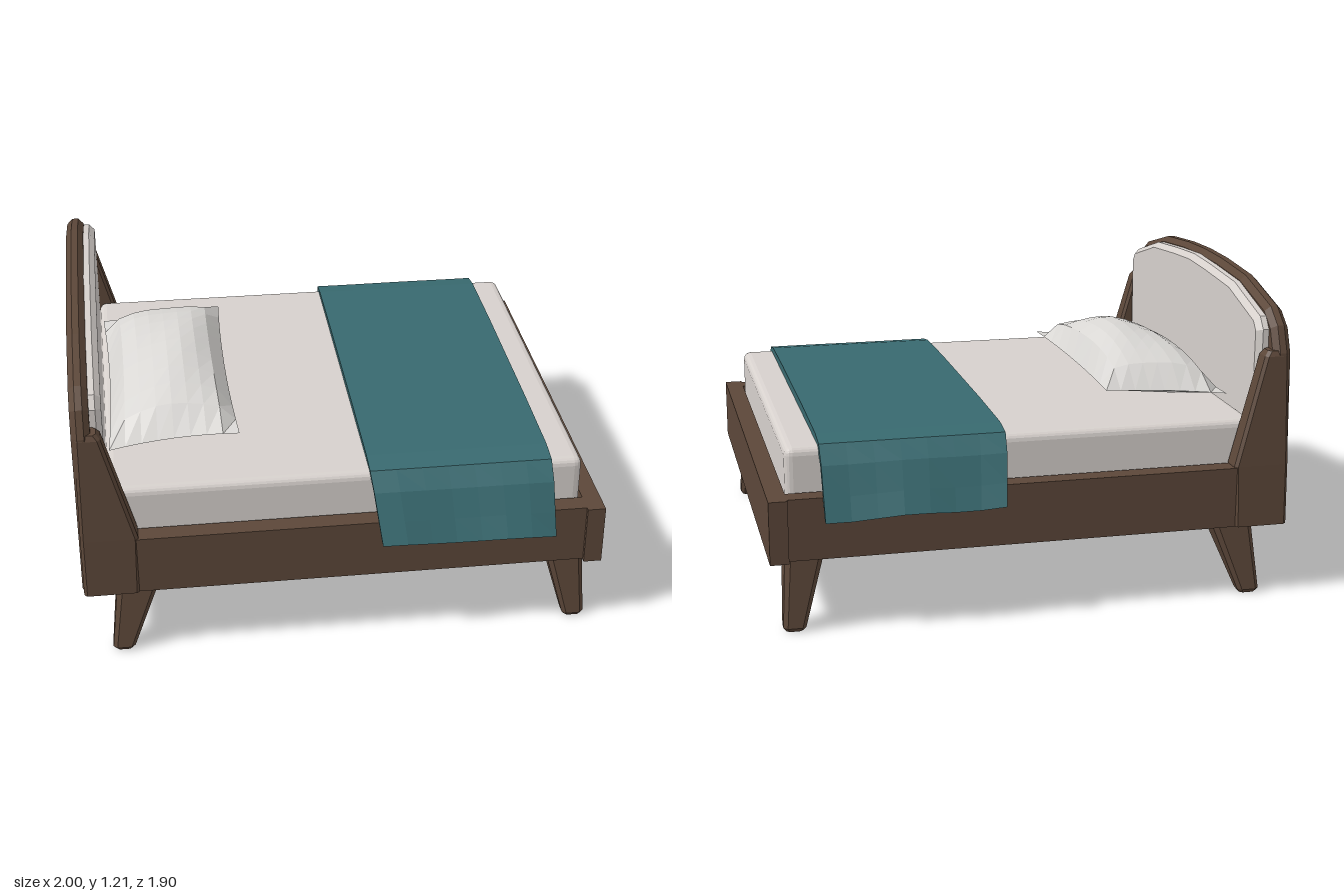
import * as THREE from 'three';
import { RoundedBoxGeometry } from 'three/addons/geometries/RoundedBoxGeometry.js';
import { mergeGeometries } from 'three/addons/utils/BufferGeometryUtils.js';

const mat = (name, color) => {
  const m = new THREE.MeshStandardMaterial({ color });
  m.name = name;
  return m;
};

// faceted normals
function facet(geo) {
  const g = geo.index ? geo.toNonIndexed() : geo;
  g.computeVertexNormals();
  return g;
}

// closed solid through rings of equal, even point count
function loft(rings) {
  const pos = [];
  const quad = (a, b, c, d) => [a, b, c, a, c, d].forEach(p => pos.push(...p));
  const n = rings[0].length;
  for (let r = 0; r < rings.length - 1; r++) {
    const a = rings[r], b = rings[r + 1];
    for (let i = 0; i < n; i++) {
      const j = (i + 1) % n;
      quad(a[i], a[j], b[j], b[i]);
    }
  }
  const lo = rings[0], hi = rings[rings.length - 1];
  for (let i = 0; i < n / 2 - 1; i++) {
    const j = n - 1 - i;
    quad(hi[i], hi[i + 1], hi[j - 1], hi[j]);
    quad(lo[j], lo[j - 1], lo[i + 1], lo[i]);
  }
  const g = new THREE.BufferGeometry();
  g.setAttribute('position', new THREE.Float32BufferAttribute(pos, 3));
  g.computeVertexNormals();
  return g;
}

// horizontal rectangle with cut corners; side mirrors it in z
function ring(y, x0, x1, zIn, zOut, side, c) {
  const z0 = side > 0 ? zIn : -zOut, z1 = side > 0 ? zOut : -zIn;
  return [[x1, z1 - c], [x1, z0 + c], [x1 - c, z0], [x0 + c, z0],
    [x0, z0 + c], [x0, z1 - c], [x0 + c, z1], [x1 - c, z1]].map(([x, z]) => [x, y, z]);
}

// bevelled panel in the z-y plane from half an outline, bottom to top centre
function panel(half, x0, x1, bevel) {
  const pts = [...half, ...half.slice(0, -1).reverse().map(([z, y]) => [-z, y])];
  const shape = new THREE.Shape(pts.map(([z, y]) => new THREE.Vector2(z, y)));
  const g = new THREE.ExtrudeGeometry(shape, {
    depth: x1 - x0 - 2 * bevel, bevelEnabled: true, bevelSegments: 1,
    bevelThickness: bevel, bevelSize: bevel, bevelOffset: -bevel,
  });
  g.rotateY(Math.PI / 2);
  g.translate(x0 + bevel, 0, 0);
  return facet(g);
}

export function createModel() {
  const bed = new THREE.Group();
  bed.name = 'bed';
  const wood = mat('brown wood', 0x5c4739);
  const linen = mat('pale linen', 0xd6d0cc);
  const pillowCloth = mat('pillow white', 0xd9d7d4);
  const teal = mat('teal cloth', 0x38696f);

  const add = (name, geo, m) => {
    const mesh = new THREE.Mesh(geo, m);
    mesh.name = name;
    bed.add(mesh);
    return mesh;
  };
  const box = (name, x0, x1, y0, y1, z0, z1, m = wood) => {
    const mesh = add(name, new THREE.BoxGeometry(x1 - x0, y1 - y0, z1 - z0), m);
    mesh.position.set((x0 + x1) / 2, (y0 + y1) / 2, (z0 + z1) / 2);
  };

  // frame
  box('footRail', 0.93, 1, 0.275, 0.515, -0.89, 0.89);
  for (const s of [1, -1]) {
    const span = (a, b) => (s > 0 ? [a, b] : [-b, -a]);
    box('sideRail', -0.82, 0.935, 0.28, 0.515, ...span(0.8, 0.875));
    box('slatLedge', -0.93, 0.93, 0.38, 0.42, ...span(0.75, 0.8));
  }

  // slats and centre beam under the mattress
  box('centreBeam', -0.93, 0.93, 0.36, 0.42, -0.05, 0.05);
  const slats = 16, pitch = 1.84 / slats;
  for (let i = 0; i < slats; i++) {
    const x = -0.92 + pitch * (i + 0.5);
    box('slat', x - pitch * 0.44, x + pitch * 0.44, 0.42, 0.45, -0.77, 0.77);
  }

  // headboard, its padding and the tapering side wings
  add('headboard', panel([[0.88, 0.28], [0.873, 0.52], [0.855, 0.95], [0.815, 1.05],
    [0.74, 1.11], [0.47, 1.18], [0.2, 1.2], [0, 1.205]], -1, -0.93, 0.022), wood);
  add('headboardPadding', panel([[0.78, 0.46], [0.785, 1.03], [0.75, 1.075],
    [0.47, 1.155], [0.2, 1.175], [0, 1.185]], -0.955, -0.885, 0.022), linen);
  for (const s of [1, -1]) {
    add('headboardWing', loft([
      ring(0.28, -0.995, -0.785, 0.79, 0.885, s, 0.012),
      ring(0.52, -0.995, -0.78, 0.785, 0.878, s, 0.012),
      ring(0.94, -0.99, -0.895, 0.775, 0.856, s, 0.012),
      ring(0.96, -0.98, -0.91, 0.785, 0.846, s, 0.012),
    ]), wood);
    // splayed legs
    const legs = { headLeg: [-0.87, -0.71, -0.9, -0.815], footLeg: [0.795, 0.94, 0.87, 0.955] };
    for (const [name, [t0, t1, b0, b1]] of Object.entries(legs)) {
      add(name, loft([
        ring(0, b0 + 0.01, b1 - 0.01, 0.81, 0.86, s, 0.012),
        ring(0.015, b0, b1, 0.8, 0.87, s, 0.015),
        ring(0.285, t0, t1, 0.7, 0.845, s, 0.02),
        ring(0.4, t0, t1, 0.69, 0.83, s, 0.02),
      ]), wood);
    }
  }

  // mattress
  const mattress = add('mattress', facet(new RoundedBoxGeometry(1.81, 0.23, 1.57, 2, 0.03)), linen);
  mattress.position.set(0.02, 0.565, 0);

  // pillow: two puffed sheets meeting at a seam, with pulled-out corners
  const sheet = (dir, height) => {
    const g = new THREE.PlaneGeometry(2, 2, 8, 10);
    g.rotateX(-dir * Math.PI / 2);
    const p = g.attributes.position;
    for (let i = 0; i < p.count; i++) {
      const u = p.getX(i), v = p.getZ(i);
      const puff = Math.sqrt(Math.max(0, (1 - u * u) * (1 - v * v)));
      const crease = 1 + 0.04 * Math.sin(5 * u + 3 * v);
      p.setXYZ(i,
        -0.62 + 0.25 * u * (1 - 0.06 * (1 - v * v)),
        0.735 + 0.02 * u + dir * height * puff * crease,
        0.015 + 0.54 * v * (1 - 0.05 * (1 - u * u)));
    }
    return g;
  };
  add('pillow', facet(mergeGeometries([sheet(1, 0.155), sheet(-1, 0.055)])), pillowCloth);

  // throw blanket: a draped profile carried along x with soft folds
  const drape = [[0.942, 0.45, 0.918, 0.455], [0.9, 0.53, 0.875, 0.53], [0.85, 0.63, 0.825, 0.62],
    [0.79, 0.693, 0.77, 0.668], [0.7, 0.708, 0.69, 0.675], [0.35, 0.714, 0.35, 0.675]];
  const steps = 7, rings = [];
  for (let k = 0; k <= steps; k++) {
    const t = k / steps;
    const point = (z, y) => {
      const hang = THREE.MathUtils.clamp((0.7 - y) / 0.25, 0, 1);
      const fold = Math.sin(t * 9 + (z > 0 ? 1 : 3));
      const x = 0.1 + 0.03 * hang + t * (0.7 - 0.03 * hang);
      return [x, y + hang * (0.008 * fold - 0.01 * t), z + Math.sign(z) * hang * 0.01 * fold];
    };
    const right = drape.map(([z, y]) => point(-z, y));
    const left = drape.map(([z, y]) => point(z, y)).reverse();
    const innerLeft = drape.map(([, , z, y]) => point(z, y));
    const innerRight = drape.map(([, , z, y]) => point(-z, y)).reverse();
    rings.push([...right, ...left, ...innerLeft.reverse(), ...innerRight.reverse()]);
  }
  // order the underside from left hem back to right hem
  const n = drape.length;
  for (const r of rings) {
    const under = r.splice(2 * n);
    r.push(...under.slice(0, n).reverse(), ...under.slice(n).reverse());
  }
  add('throwBlanket', loft(rings), teal);

  return bed;
}
